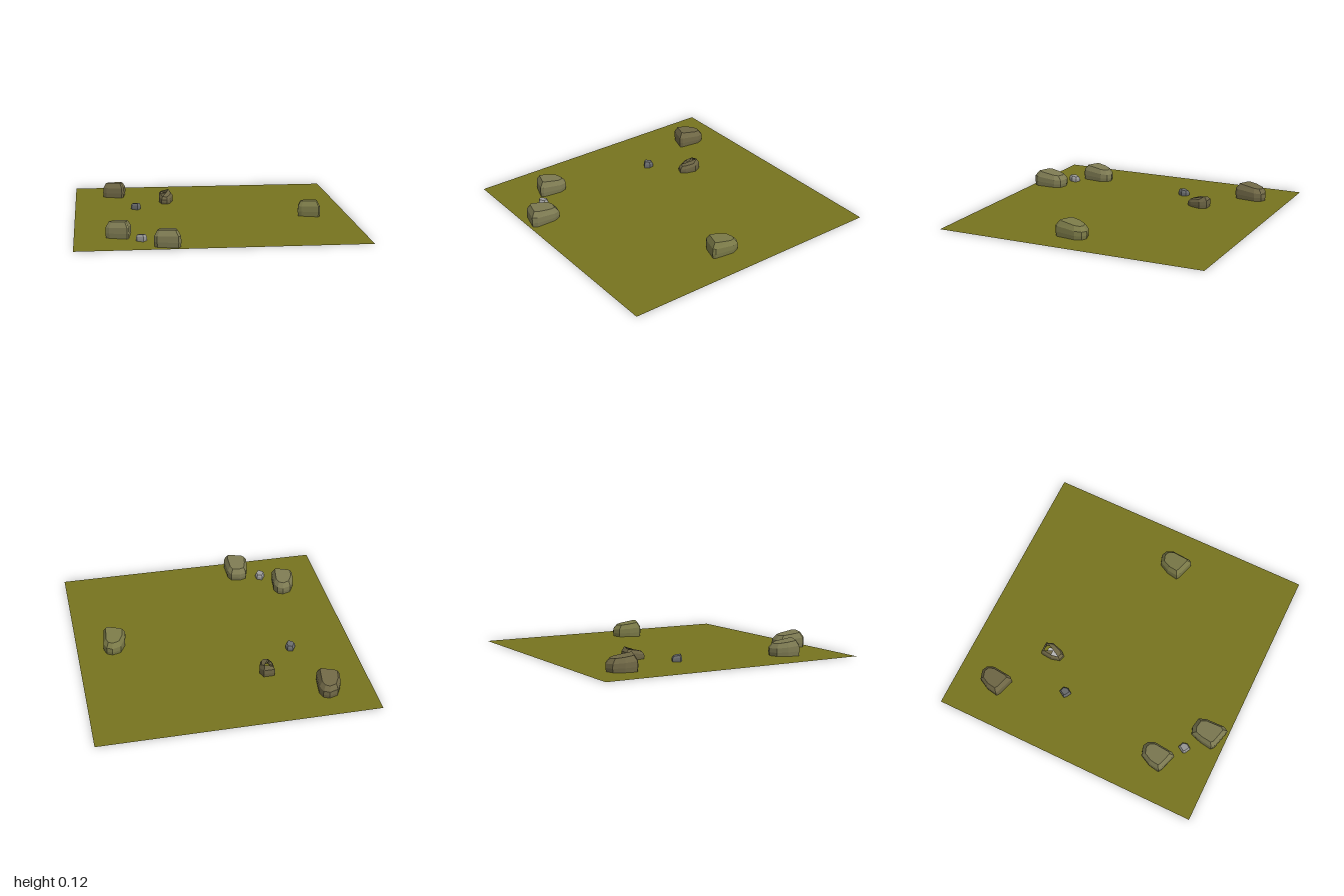
import * as THREE from 'three';

// Footprints as [x, z] offsets from each rock's centre, back edge first
const BOULDER = [[-.035, -.095], [.03, -.115], [.07, -.095], [.088, -.045], [.07, .1],
  [.055, .118], [-.065, .08], [-.09, .063], [-.075, -.02]];
const WIDE = [[-.05, -.105], [0, -.122], [.07, -.108], [.09, -.06], [.09, .088],
  [.07, .122], [-.07, .085], [-.09, .063], [-.075, -.03]];
const BROKEN = [[-.045, -.08], [.035, -.08], [.057, -.03], [.034, .05], [.008, .083],
  [-.034, .068], [-.052, 0]];
const PEBBLE = [[-.037, .005], [-.008, -.042], [.03, -.028], [.037, .008], [.012, .042], [-.025, .022]];

// Each ring: outline scale and fraction of the rock's height
const RINGS = [[.96, 0], [1, .3], [.98, .65], [.74, 1]];

function rockGeometry(outline, height, slant, broken) {
  const n = outline.length;
  const half = Math.max(...outline.map(p => Math.abs(p[1])));
  const pos = [], index = [];
  for (const [scale, level] of RINGS) {
    outline.forEach(([x, z], i) => {
      const slope = 1 - Math.abs(slant) + slant * z * scale / half * 1.25;
      const jag = broken && level === 1 && z < 0 ? (i % 2 ? 1.08 : .9) : 1;
      pos.push(x * scale, height * level * slope * jag, z * scale);
    });
  }
  // Sides between neighbouring rings
  for (let r = 0; r < RINGS.length - 1; r++) {
    for (let i = 0; i < n; i++) {
      const a = r * n + i, b = r * n + (i + 1) % n;
      index.push(a, a + n, b, b, a + n, b + n);
    }
  }
  // Top facet; the broken rock keeps only some of its pieces
  const top = (RINGS.length - 1) * n;
  pos.push(0, height * (1 - Math.abs(slant)), 0);
  for (let i = 0; i < n; i++) {
    if (broken && (i === 0 || i === 5)) continue;
    index.push(RINGS.length * n, top + (i + 1) % n, top + i);
  }
  const g = new THREE.BufferGeometry();
  g.setAttribute('position', new THREE.Float32BufferAttribute(pos, 3));
  g.setIndex(index);
  const flat = g.toNonIndexed();
  flat.computeVertexNormals();
  return flat;
}

const ROCKS = [
  { name: 'frontRightBoulder', outline: BOULDER, x: -.695, z: .595, h: .117, slant: .13, color: 0x7d7a52 },
  { name: 'backRightBoulder', outline: BOULDER, x: -.695, z: -.715, h: .117, slant: .13, color: 0x706846 },
  { name: 'leftBoulder', outline: BOULDER, x: .72, z: .08, h: .117, slant: .13, color: 0x7b7a48 },
  { name: 'frontBoulder', outline: WIDE, x: -.38, z: .862, h: .117, slant: .13, color: 0x7d7a52 },
  { name: 'brokenRock', outline: BROKEN, x: -.307, z: -.425, h: .085, slant: -.2, color: 0x6c6444, broken: true },
  { name: 'backPebble', outline: PEBBLE, x: -.545, z: -.21, h: .05, slant: .13, color: 0x6a6c6c, pebble: true },
  { name: 'frontPebble', outline: PEBBLE, x: -.545, z: .752, h: .05, slant: .13, color: 0x9a9a98, pebble: true },
];

export function createModel() {
  const model = new THREE.Group();

  // Square ground, opened beneath the larger rocks
  const square = new THREE.Shape([[-1, -1], [1, -1], [1, 1], [-1, 1]].map(p => new THREE.Vector2(...p)));
  for (const r of ROCKS) {
    if (r.pebble) continue;
    square.holes.push(new THREE.Path(r.outline.map(([x, z]) =>
      new THREE.Vector2(r.x + x * .65, -(r.z + z * .65)))));
  }
  const ground = new THREE.Mesh(
    new THREE.ShapeGeometry(square).rotateX(-Math.PI / 2),
    new THREE.MeshStandardMaterial({ color: 0x77741f, side: THREE.DoubleSide }));
  ground.name = 'ground';
  model.add(ground);

  // Scattered rocks
  for (const r of ROCKS) {
    const rock = new THREE.Mesh(
      rockGeometry(r.outline, r.h, r.slant, r.broken),
      new THREE.MeshStandardMaterial({ color: r.color, flatShading: true, side: THREE.DoubleSide }));
    rock.name = r.name;
    rock.position.set(r.x, 0, r.z);
    model.add(rock);
  }
  return model;
}
